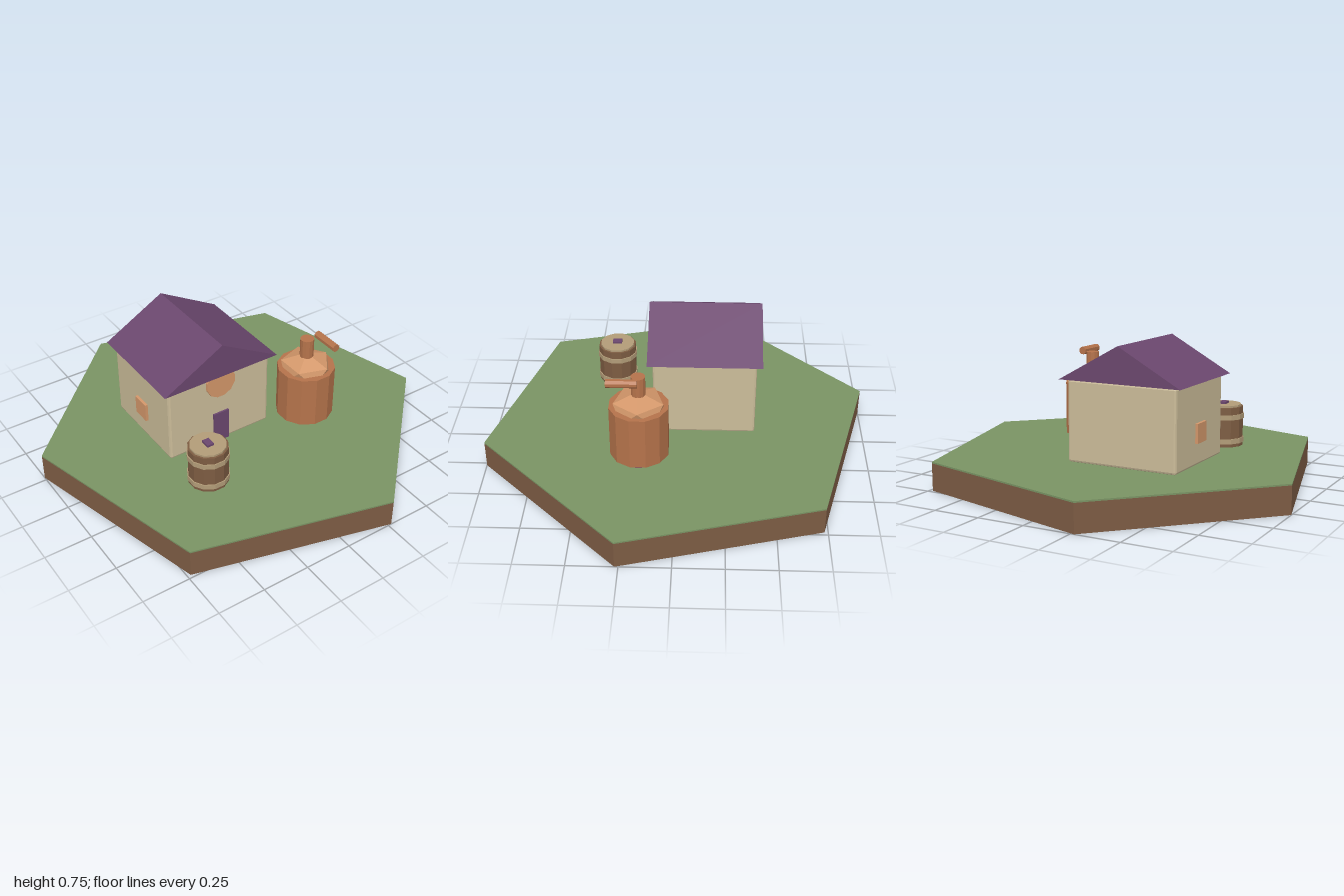
import * as THREE from 'three';
import { RoundedBoxGeometry } from 'three/addons/geometries/RoundedBoxGeometry.js';

const paint = (name, color) => Object.assign(new THREE.MeshStandardMaterial({ color }), { name });

export function createModel() {
  const mats = {
    grass: paint('grass green', 0x7a9464),
    earth: paint('earth brown', 0x7d5c44),
    plaster: paint('cream plaster', 0xcbbc99),
    purple: paint('roof purple', 0x6b476e),
    copper: paint('copper', 0xb5734b),
    brightCopper: paint('bright copper', 0xd3976a),
    wood: paint('barrel wood', 0x7d5c42),
    tan: paint('tan wood', 0xb29c78),
  };
  const GROUND = 0.15;
  const model = new THREE.Group();
  model.name = 'diorama';

  const group = (name, x, y, z) => {
    const g = new THREE.Group();
    g.name = name;
    g.position.set(x, y, z);
    model.add(g);
    return g;
  };
  // Adds a mesh with faceted normals
  const add = (parent, name, geometry, mat, x = 0, y = 0, z = 0) => {
    const flat = geometry.index ? geometry.toNonIndexed() : geometry;
    flat.computeVertexNormals();
    const mesh = new THREE.Mesh(flat, mat);
    mesh.name = name;
    mesh.position.set(x, y, z);
    parent.add(mesh);
    return mesh;
  };
  const box = (w, h, d) => new THREE.BoxGeometry(w, h, d);
  // Upright prism from y0 to y1 with a flat side towards the front; r is the distance to a flat
  const prism = (r, y0, y1, sides = 12) => {
    const R = r / Math.cos(Math.PI / sides);
    return new THREE.CylinderGeometry(R, R, y1 - y0, sides)
      .rotateY(Math.PI / sides).translate(0, (y0 + y1) / 2, 0);
  };

  // Hexagonal island: earth slab with a thin grass top
  const island = group('island', 0, 0, 0);
  island.rotation.y = Math.PI / 12;
  const hex = (y0, y1) =>
    new THREE.CylinderGeometry(1.035, 1.035, y1 - y0, 6).translate(0, (y0 + y1) / 2, 0);
  add(island, 'earth', hex(0, 0.142), mats.earth);
  add(island, 'grass', hex(0.142, GROUND), mats.grass);

  // House
  const house = group('house', -0.167, GROUND, -0.137);
  add(house, 'walls', new RoundedBoxGeometry(0.6, 0.42, 0.53, 1, 0.012), mats.plaster, 0, 0.21, 0);
  const gable = new THREE.Shape([
    new THREE.Vector2(-0.333, 0), new THREE.Vector2(0.333, 0), new THREE.Vector2(0, 0.185),
  ]);
  add(house, 'roof', new THREE.ExtrudeGeometry(gable, { depth: 0.585, bevelEnabled: false }),
    mats.purple, 0, 0.42, -0.2925);
  add(house, 'door', box(0.09, 0.18, 0.02), mats.purple, 0.004, 0.09, 0.265);
  add(house, 'roundWindow', prism(0.082, -0.015, 0.015).rotateX(Math.PI / 2),
    mats.brightCopper, 0, 0.372, 0.265);
  add(house, 'sideWindow', box(0.03, 0.1, 0.1), mats.brightCopper, -0.3, 0.165, 0);

  // Copper still: drum, faceted dome, neck, spout and feet
  const still = group('still', 0.335, GROUND, 0.187);
  add(still, 'drum', prism(0.147, 0.027, 0.31), mats.copper);
  const dome = new THREE.IcosahedronGeometry(0.147)
    .rotateZ(-Math.atan(2 / (1 + Math.sqrt(5)))).scale(1, 0.6, 1);
  add(still, 'dome', dome, mats.brightCopper, 0, 0.298, 0);
  add(still, 'neck', prism(0.035, 0.34, 0.475), mats.copper);
  add(still, 'spout', prism(0.02, 0, 0.153, 8).rotateX(Math.PI / 2), mats.copper, 0.066, 0.475, 0);
  for (const side of [-1, 1])
    add(still, side > 0 ? 'leftFoot' : 'rightFoot', box(0.036, 0.035, 0.036), mats.purple,
      side * 0.098, 0.0175, 0);

  // Barrel with two hoops, lid and bung
  const barrel = group('barrel', -0.384, GROUND, 0.352);
  add(barrel, 'staves', prism(0.1, 0, 0.212), mats.wood);
  for (const y of [0.018, 0.147])
    add(barrel, 'hoop', prism(0.105, y, y + 0.027), mats.tan);
  add(barrel, 'lid', prism(0.09, 0.205, 0.222), mats.tan);
  add(barrel, 'bung', box(0.036, 0.016, 0.05), mats.purple, 0, 0.226, 0);

  return model;
}
